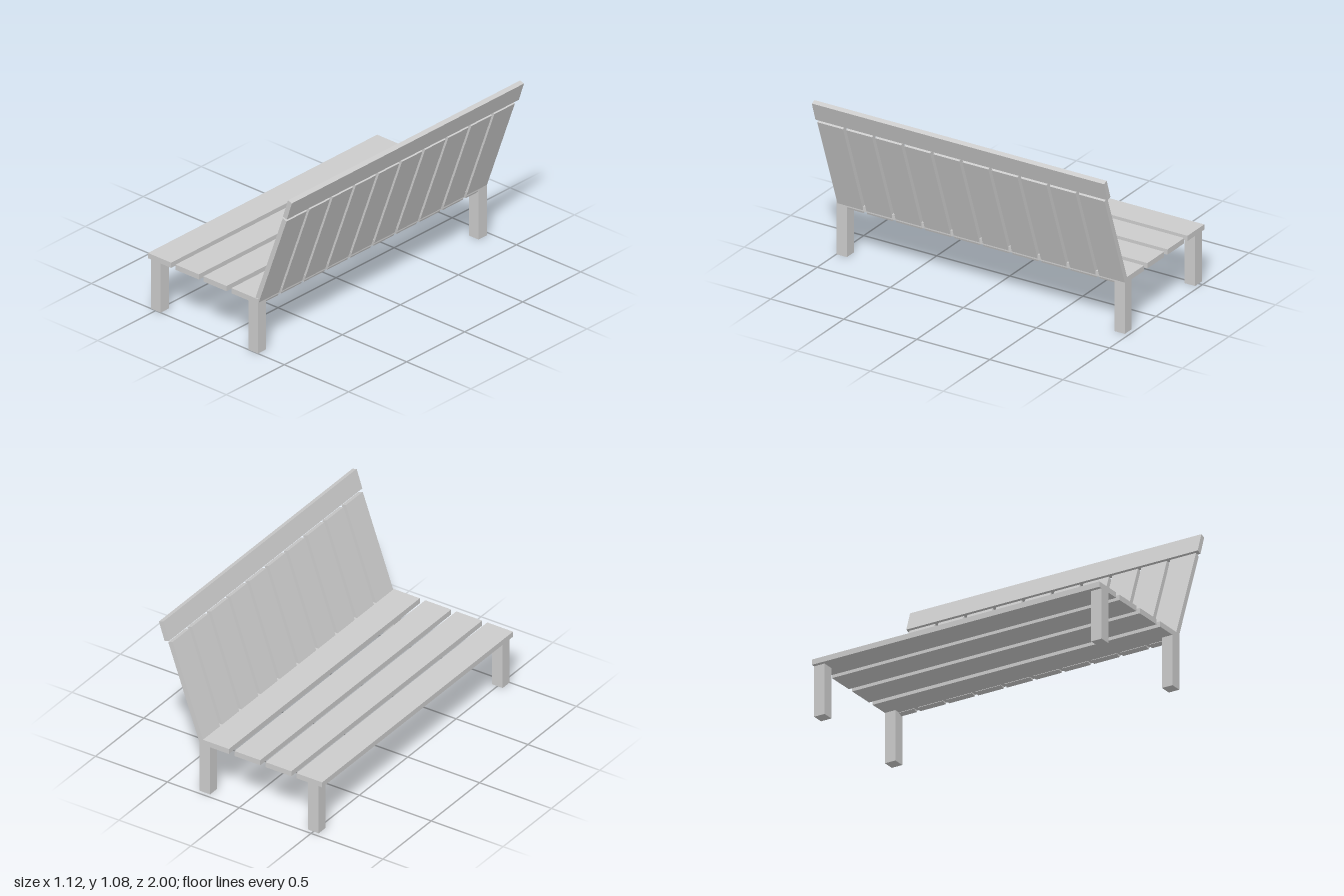
import * as THREE from 'three';

export function createModel() {
  const bench = new THREE.Group();
  bench.name = 'bench';
  const material = new THREE.MeshStandardMaterial({ color: 0xcccccc, flatShading: true });

  // A straight board, optionally leaning back about z
  function board(name, size, position, lean = 0) {
    const mesh = new THREE.Mesh(new THREE.BoxGeometry(...size), material);
    mesh.name = name;
    mesh.position.set(...position);
    mesh.rotation.z = -lean;
    bench.add(mesh);
  }

  // Seat planks, running along z; the rear one reaches under the backrest
  const seatZ = 0.013, seatLength = 1.974;
  const planks = [[-0.56, -0.38], [-0.345, -0.165], [-0.129, 0.051], [0.089, 0.294]];
  planks.forEach(([x0, x1], i) =>
    board(`seatPlank${i + 1}`, [x1 - x0, 0.034, seatLength], [(x0 + x1) / 2, 0.338, seatZ]));

  // Four square legs, flush with the ends of the seat
  for (const [row, x] of [['front', -0.499], ['rear', 0.257]]) {
    for (const side of [-1, 1]) {
      board(`${row}Leg${side > 0 ? 'A' : 'B'}`, [0.074, 0.33, 0.072],
        [x, 0.165, seatZ + side * (seatLength - 0.072) / 2]);
    }
  }

  // Leaning backrest slats
  for (let i = 0; i < 10; i++) {
    board(`backSlat${i + 1}`, [0.0315, 0.668, 0.176], [0.384, 0.627, 0.905 - i * 0.199],
      THREE.MathUtils.degToRad(19.7));
  }

  // Top rail above the slats
  board('topRail', [0.0315, 0.126, 2], [0.524, 1.0185, 0], THREE.MathUtils.degToRad(18.4));

  return bench;
}
